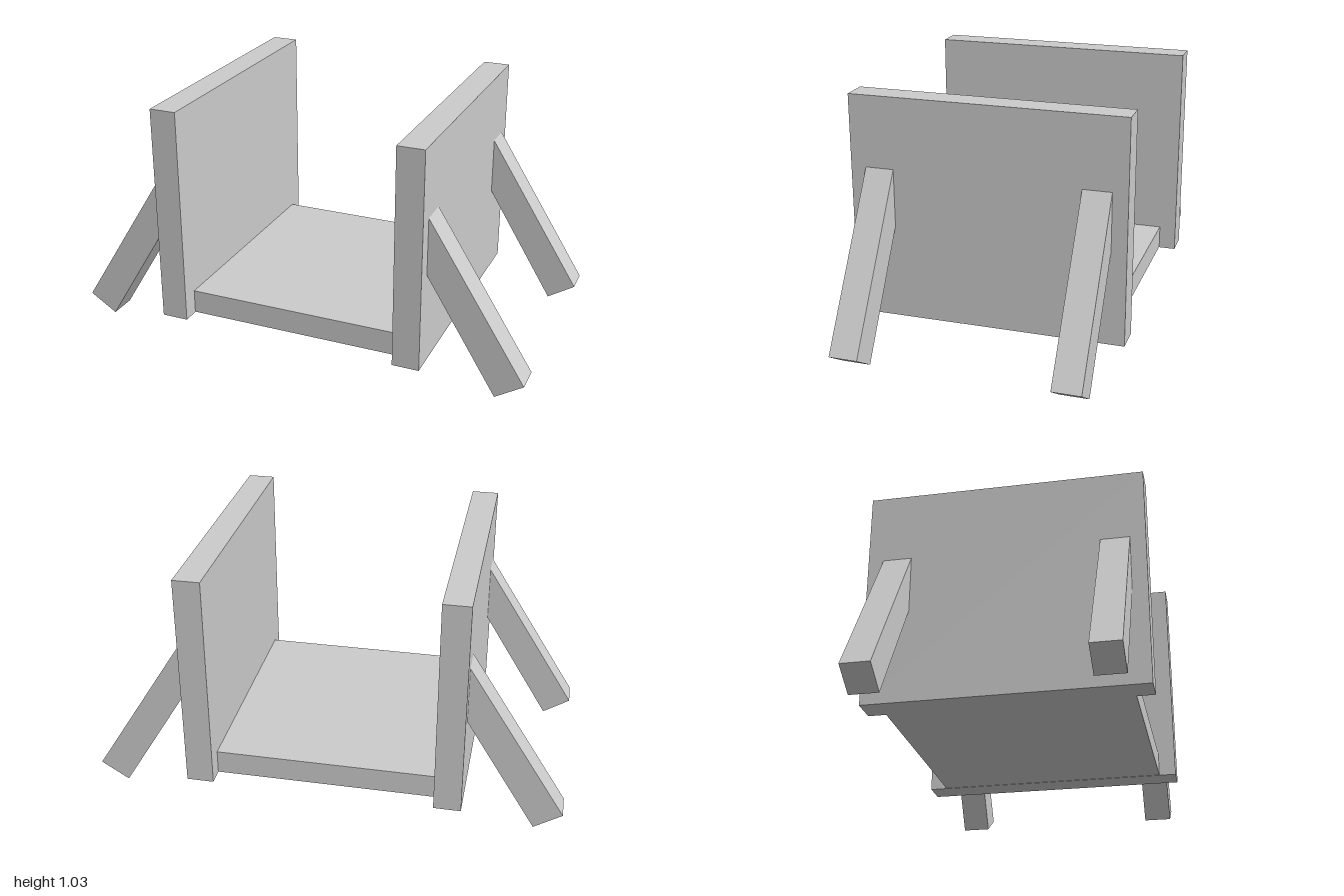
import * as THREE from 'three';

const material = new THREE.MeshStandardMaterial({ color: 0xcccccc, flatShading: true });

function addMesh(group, name, geometry, x, y, z) {
  const mesh = new THREE.Mesh(geometry, material);
  mesh.name = name;
  mesh.position.set(x, y, z);
  group.add(mesh);
}

export function createModel() {
  const model = new THREE.Group();
  model.name = 'trough';

  // Floor board between the side panels
  addMesh(model, 'floor', new THREE.BoxGeometry(0.945, 0.103, 1.006), 0, 0.138, 0);

  const legDepth = 0.12;
  for (const side of [1, -1]) {
    const sideName = side > 0 ? 'left' : 'right';

    // Upright side panel
    addMesh(model, `${sideName}Panel`, new THREE.BoxGeometry(0.115, 0.945, 1.154), side * 0.529, 0.5575, 0);

    // Slanted legs, mitred against the panel and square at the foot
    const outline = [[0.586, 0.729], [0.586, 0.483], [0.883, 0], [1, 0.074]];
    const shape = new THREE.Shape(outline.map(([x, y]) => new THREE.Vector2(side * x, y)));
    for (const end of [1, -1]) {
      const leg = new THREE.ExtrudeGeometry(shape, { depth: legDepth, bevelEnabled: false });
      addMesh(model, `${sideName}${end > 0 ? 'Front' : 'Back'}Leg`, leg, 0, 0, end * 0.453 - legDepth / 2);
    }
  }
  return model;
}
